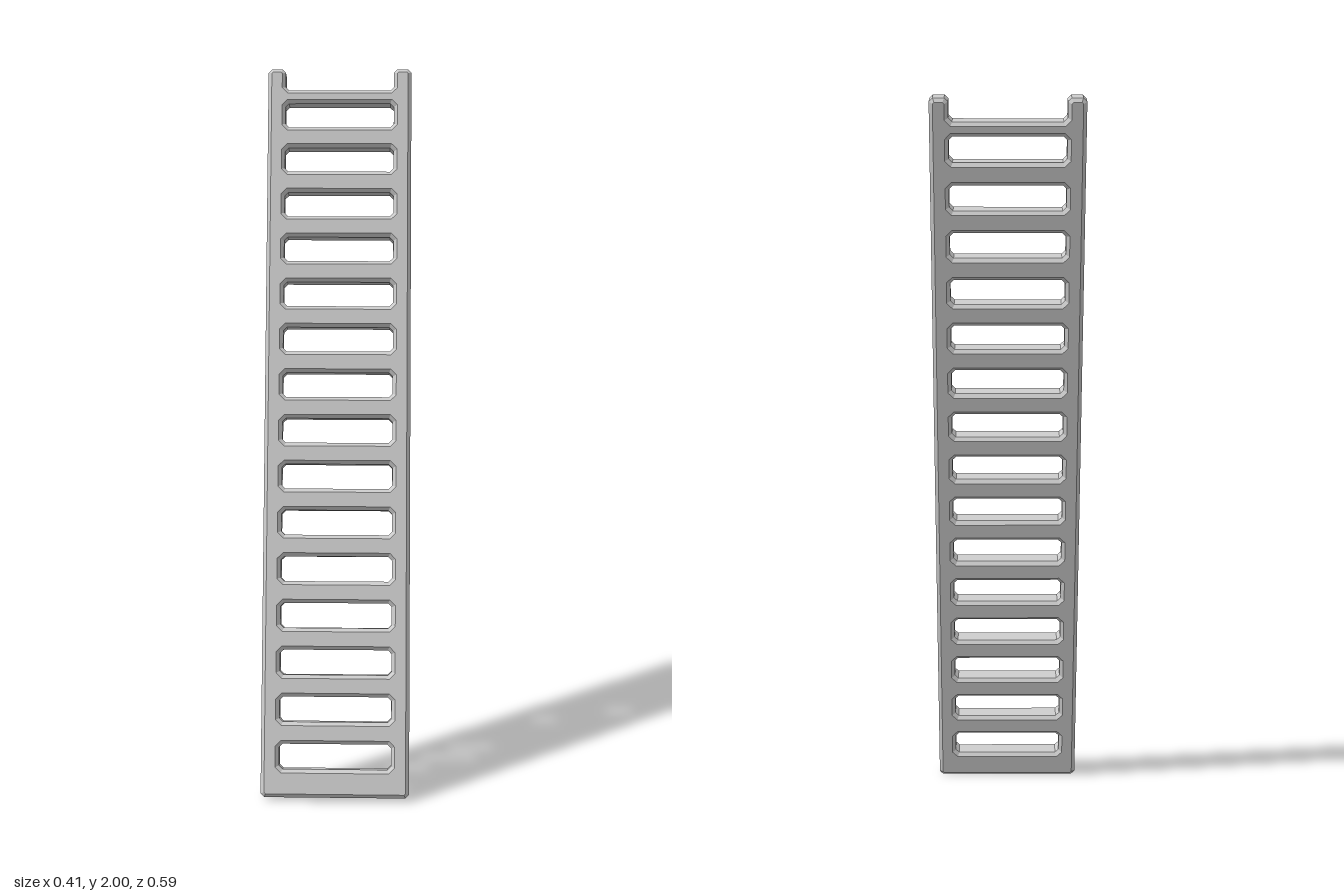
import * as THREE from 'three';

const LENGTH = 2.058, HALF_WIDTH = 0.205, THICK = 0.063, BEVEL = 0.01;
const INNER = 0.155; // inner face of the side rails
const RUNG_TOP = 1.996; // top of the highest rung
const HOLES = 15, PITCH = 0.1294, FIRST = 0.077, HOLE_HEIGHT = 0.069;
const LEAN = THREE.MathUtils.degToRad(15);

// Rectangle with small cut corners
function cutRect(x, y0, y1, c) {
  return [
    [-x + c, y0], [x - c, y0], [x, y0 + c], [x, y1 - c],
    [x - c, y1], [-x + c, y1], [-x, y1 - c], [-x, y0 + c],
  ].map(([a, b]) => new THREE.Vector2(a, b));
}

export function createModel() {
  const group = new THREE.Group();
  group.name = 'leaningLadder';
  const c = BEVEL;

  // Right half of the outline, from the bottom up around the post into the notch
  const half = [
    [HALF_WIDTH - c, 0], [HALF_WIDTH, c], [HALF_WIDTH, LENGTH - c], [HALF_WIDTH - c, LENGTH],
    [INNER + c, LENGTH], [INNER, LENGTH - c], [INNER, RUNG_TOP + c], [INNER - c, RUNG_TOP],
  ];
  const mirrored = half.map(([x, y]) => [-x, y]).reverse();
  const shape = new THREE.Shape([...half, ...mirrored].map(([x, y]) => new THREE.Vector2(x, y)));

  // Openings between the rungs
  for (let i = 0; i < HOLES; i++) {
    const y = FIRST + i * PITCH;
    shape.holes.push(new THREE.Path(cutRect(INNER, y, y + HOLE_HEIGHT, c).reverse()));
  }

  // Rails and rungs as one chamfered slab
  const geometry = new THREE.ExtrudeGeometry(shape, {
    depth: THICK - 2 * BEVEL,
    bevelEnabled: true,
    bevelThickness: BEVEL,
    bevelSize: BEVEL,
    bevelOffset: -BEVEL,
    bevelSegments: 1,
  });
  geometry.translate(0, -LENGTH / 2, -THICK / 2 + BEVEL);
  geometry.rotateX(-LEAN);
  geometry.computeBoundingBox();
  geometry.translate(0, -geometry.boundingBox.min.y, 0);

  const ladder = new THREE.Mesh(
    geometry,
    new THREE.MeshStandardMaterial({ color: 0xcccccc, flatShading: true })
  );
  ladder.name = 'railsAndRungs';
  group.add(ladder);
  return group;
}
